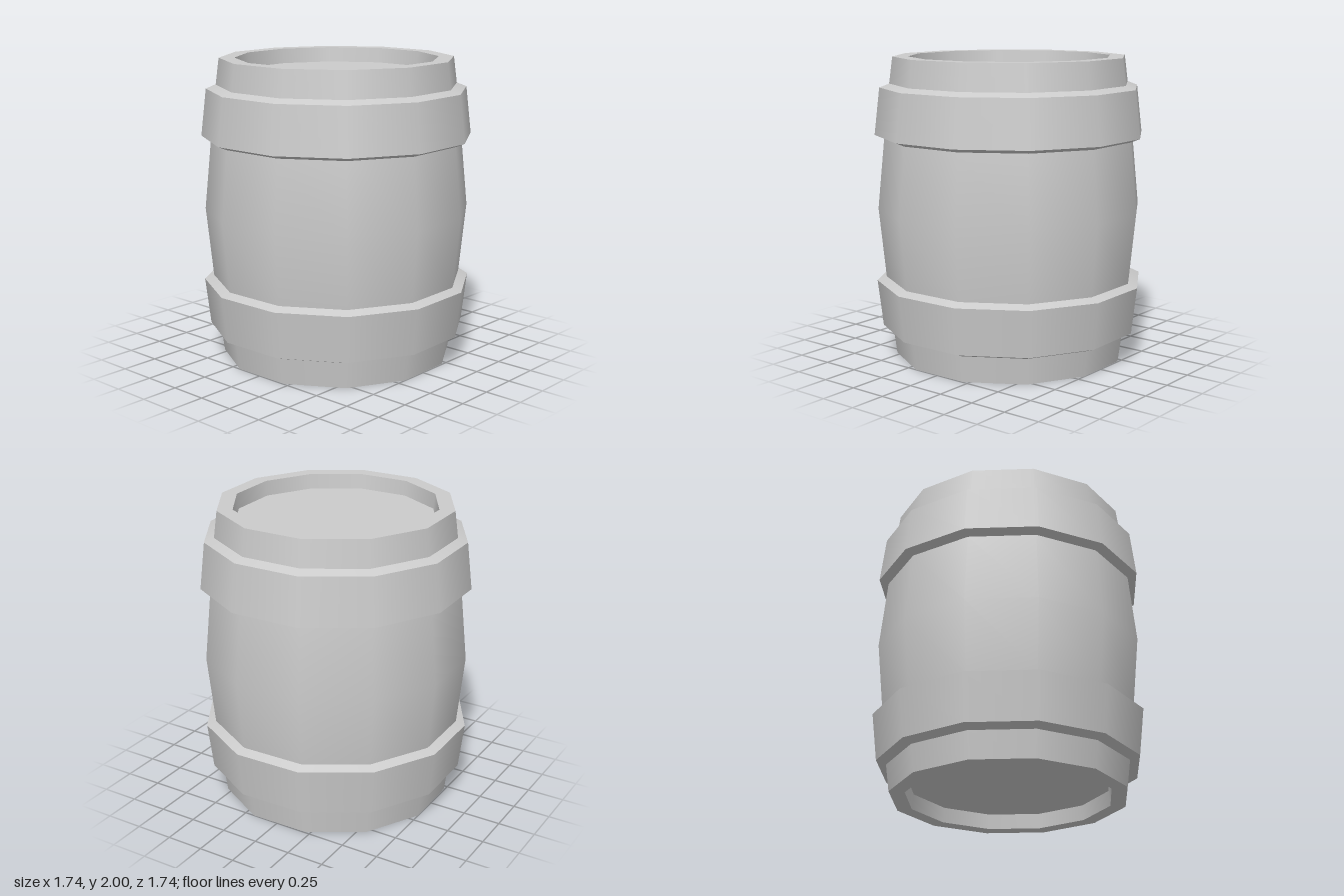
import * as THREE from 'three';

const SIDES = 12;
const TURN = THREE.MathUtils.degToRad(16.1);

export function createModel() {
  const group = new THREE.Group();
  const material = new THREE.MeshStandardMaterial({ color: 0xcccccc });

  // One smooth band of the twelve-sided barrel; profile points are [radius, y]
  const band = (parent, name, points) => {
    const profile = points.map(([r, y]) => new THREE.Vector2(r, y));
    const mesh = new THREE.Mesh(new THREE.LatheGeometry(profile, SIDES, TURN), material);
    mesh.name = name;
    parent.add(mesh);
  };

  // Bulging staves between and beyond the hoops
  band(group, 'lowerStaves', [[0.772, 0], [0.795, 0.175]]);
  band(group, 'middleStaves', [[0.834, 0.535], [0.88, 1], [0.834, 1.465]]);
  band(group, 'upperStaves', [[0.795, 1.825], [0.772, 2]]);

  // Hoops with bevelled edges, mirrored about the middle
  const hoop = [[0.795, 0.175], [0.86, 0.2], [0.896, 0.51], [0.834, 0.535]];
  // End rim, recess wall and recessed lid
  const end = [[0, 0.1], [0.66, 0.1], [0.67, 0], [0.772, 0]];
  const mirrored = (points) => points.map(([r, y]) => [r, 2 - y]).reverse();

  for (const [side, place] of [['lower', (p) => p], ['upper', mirrored]]) {
    const hoopGroup = new THREE.Group();
    hoopGroup.name = side + 'Hoop';
    const endGroup = new THREE.Group();
    endGroup.name = side + 'End';
    const h = place(hoop);
    ['bottomBevel', 'hoopFace', 'topBevel'].forEach((n, i) => band(hoopGroup, n, h.slice(i, i + 2)));
    ['lid', 'recessWall', 'rim'].forEach((n, i) => band(endGroup, n, place(end.slice(i, i + 2))));
    group.add(hoopGroup, endGroup);
  }
  return group;
}
